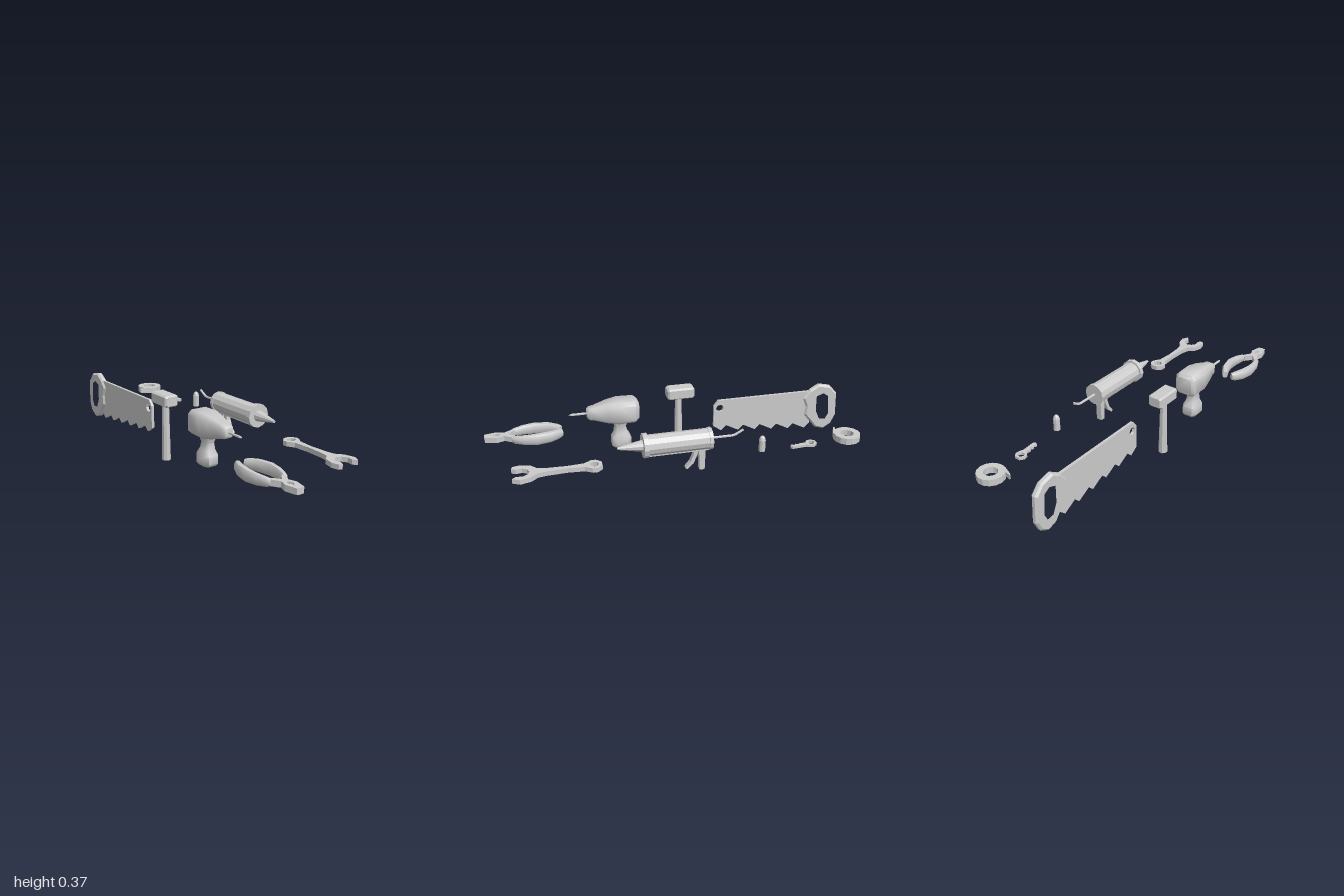
import * as THREE from 'three';
import { toCreasedNormals } from 'three/addons/utils/BufferGeometryUtils.js';

const flat = new THREE.MeshStandardMaterial({ color: 0xcccccc, flatShading: true });
const smooth = new THREE.MeshStandardMaterial({ color: 0xcccccc });

function add(parent, name, geo, mat = flat) {
  const mesh = new THREE.Mesh(geo, mat);
  mesh.name = name;
  parent.add(mesh);
  return mesh;
}

const vec2 = (pts) => pts.map(([a, b]) => new THREE.Vector2(a, b));
const circle = (cx, cy, r, n = 8) => Array.from({ length: n }, (_, i) => {
  const a = (i / n) * Math.PI * 2;
  return [cx + r * Math.cos(a), cy + r * Math.sin(a)];
});

function extrude(outline, holes, depth, bevel = 0) {
  const shape = new THREE.Shape(vec2(outline));
  holes.forEach((h) => shape.holes.push(new THREE.Path(vec2(h))));
  const geo = new THREE.ExtrudeGeometry(shape, {
    depth: depth - 2 * bevel, bevelEnabled: bevel > 0, bevelThickness: bevel,
    bevelSize: bevel, bevelOffset: -bevel, bevelSegments: 1,
  });
  return geo.translate(0, 0, bevel - depth / 2);
}

// Flat plate drawn in (x, z), lying at height y
const plate = (outline, holes, y, depth, bevel = 0) =>
  extrude(outline, holes, depth, bevel).rotateX(Math.PI / 2).translate(0, y, 0);

// Upright plate drawn in (z, y), standing at x
function upright(outline, holes, x, depth, bevel = 0) {
  const flip = (pts) => pts.map(([z, y]) => [-z, y]);
  return extrude(flip(outline), holes.map(flip), depth, bevel).rotateY(Math.PI / 2).translate(x, 0, 0);
}

// Chamfered rectangular section swept along stations [x, y, z, halfWidth, halfHeight]
function sweep(stations, up, cut = 0.6, crease = 0.75) {
  const p = stations.map((s) => new THREE.Vector3(s[0], s[1], s[2]));
  const corners = [[1, -cut], [1, cut], [cut, 1], [-cut, 1], [-1, cut], [-1, -cut], [-cut, -1], [cut, -1]];
  const pos = [], idx = [], n = 8, last = p.length - 1;
  p.forEach((c, i) => {
    const w = p[Math.min(i + 1, last)].clone().sub(p[Math.max(i - 1, 0)]).normalize();
    const u = up.clone().cross(w).normalize();
    const v = w.clone().cross(u);
    corners.forEach(([a, b]) => {
      const q = c.clone().addScaledVector(u, a * stations[i][3]).addScaledVector(v, b * stations[i][4]);
      pos.push(q.x, q.y, q.z);
    });
  });
  for (let i = 0; i < last; i++) for (let j = 0; j < n; j++) {
    const a = i * n + j, b = i * n + (j + 1) % n;
    idx.push(a, b, b + n, a, b + n, a + n);
  }
  for (let j = 1; j < n - 1; j++) {
    idx.push(0, j + 1, j, last * n, last * n + j, last * n + j + 1);
  }
  const geo = new THREE.BufferGeometry();
  geo.setAttribute('position', new THREE.Float32BufferAttribute(pos, 3));
  geo.setIndex(idx);
  return toCreasedNormals(geo, crease);
}

// Cylinder along z from z0 to z1
const rodZ = (r0, r1, z0, z1, x, y, n) =>
  new THREE.CylinderGeometry(r1, r0, z1 - z0, n).rotateX(Math.PI / 2).translate(x, y, (z0 + z1) / 2);

const Y = new THREE.Vector3(0, 1, 0), Z = new THREE.Vector3(0, 0, 1);

export function createModel() {
  const model = new THREE.Group();
  const group = (name) => {
    const g = new THREE.Group();
    g.name = name;
    model.add(g);
    return g;
  };

  // Saw: toothed blade and looped grip
  const saw = group('saw');
  const blade = [[-0.83, 0.276], [-0.285, 0.276], [-0.26, 0.245], [-0.26, 0.12]];
  for (let i = 0; i < 6; i++) {
    const z = -0.305 - i * 0.101, y = 0.09 - i * 0.009;
    blade.push([z, y], [z - 0.03, y + 0.028]);
  }
  add(saw, 'sawBlade', upright(blade, [circle(-0.295, 0.228, 0.022)], -0.159, 0.016));
  add(saw, 'sawHandle', upright(
    [[-0.79, 0.235], [-0.83, 0.283], [-0.88, 0.313], [-0.95, 0.298], [-0.993, 0.25], [-1, 0.11],
      [-0.975, 0.056], [-0.93, 0.028], [-0.876, 0.044], [-0.845, 0.083], [-0.805, 0.13], [-0.81, 0.185]],
    [[[-0.86, 0.25], [-0.91, 0.27], [-0.95, 0.245], [-0.962, 0.13], [-0.94, 0.085], [-0.89, 0.09],
      [-0.862, 0.15]]], -0.159, 0.036, 0.01));

  // Mallet
  const mallet = group('mallet');
  add(mallet, 'malletHead', sweep([
    [-0.197, 0.334, -0.15, 0.032, 0.024], [-0.197, 0.334, -0.14, 0.04, 0.031],
    [-0.197, 0.334, -0.01, 0.04, 0.031], [-0.197, 0.334, 0, 0.032, 0.024]], Y, 0.75, 0.3));
  add(mallet, 'malletHandle', new THREE.CylinderGeometry(0.018, 0.024, 0.31, 8)
    .rotateY(Math.PI / 8).translate(-0.196, 0.155, -0.066));

  // Power drill
  const drill = group('drill');
  const dx = -0.164;
  add(drill, 'drillBody', sweep([
    [dx, 0.277, 0.168, 0.046, 0.046], [dx, 0.277, 0.19, 0.063, 0.062], [dx, 0.277, 0.28, 0.065, 0.064],
    [dx, 0.277, 0.34, 0.052, 0.055], [dx, 0.277, 0.41, 0.034, 0.036], [dx, 0.277, 0.435, 0.031, 0.032],
    [dx, 0.277, 0.448, 0.022, 0.022]], Y, 0.68, 0.9), smooth);
  add(drill, 'drillBit', rodZ(0.007, 0.007, 0.44, 0.53, dx, 0.277, 6));
  add(drill, 'drillBitTip', rodZ(0.007, 0.001, 0.53, 0.545, dx, 0.277, 6));
  add(drill, 'drillGrip', sweep([
    [dx, 0.065, 0.266, 0.034, 0.044], [dx, 0.078, 0.266, 0.042, 0.054], [dx, 0.12, 0.266, 0.042, 0.052],
    [dx, 0.148, 0.268, 0.03, 0.037], [dx, 0.185, 0.27, 0.025, 0.03], [dx, 0.225, 0.27, 0.036, 0.045]],
    Z, 0.65, 0.9), smooth);

  // Pliers: two mirrored halves crossing at the pivot
  const pliers = group('pliers');
  const px = -0.2;
  for (const s of [-1, 1]) {
    const grip = [[0.02, 0.587, 0.014, 0.019], [0.033, 0.605, 0.017, 0.024], [0.054, 0.65, 0.019, 0.028],
      [0.068, 0.72, 0.018, 0.029], [0.062, 0.785, 0.016, 0.025], [0.047, 0.835, 0.013, 0.02],
      [0.04, 0.848, 0.01, 0.014]];
    add(pliers, 'pliersGrip', sweep(grip.map(([x, z, w, h]) => [px + s * x, 0.171, z, w, h]), Y, 0.55, 0.9), smooth);
    const jaw = [[0.053, 0.838], [0.018, 0.893], [0, 0.905], [-0.014, 0.928], [0, 0.955], [0, 0.995],
      [-0.02, 0.992], [-0.034, 0.93], [-0.018, 0.885], [0, 0.872], [0.032, 0.832]];
    add(pliers, 'pliersJaw', plate(jaw.map(([x, z]) => [px + s * x, z]), [], 0.172, 0.03));
  }

  // Caulking gun
  const gun = group('caulkingGun');
  const gx = 0.201, gy = 0.243;
  add(gun, 'cartridge', rodZ(0.054, 0.054, -0.13, 0.2, gx, gy, 12));
  add(gun, 'frontCollar', rodZ(0.064, 0.064, 0.192, 0.217, gx, gy, 12));
  add(gun, 'rearCap', rodZ(0.058, 0.058, -0.142, -0.122, gx, gy, 12));
  add(gun, 'nozzle', rodZ(0.031, 0.007, 0.217, 0.345, gx, gy, 10));
  const rod = new THREE.CurvePath();
  const rodPts = [[-0.13, gy], [-0.265, gy], [-0.315, gy + 0.028]].map(([z, y]) => new THREE.Vector3(gx, y, z));
  for (let i = 0; i < 2; i++) rod.add(new THREE.LineCurve3(rodPts[i], rodPts[i + 1]));
  add(gun, 'plungerRod', new THREE.TubeGeometry(rod, 12, 0.007, 6));
  add(gun, 'gunGrip', upright([[-0.074, 0.2], [-0.11, 0.2], [-0.106, 0.072], [-0.079, 0.072]], [], gx, 0.032));
  add(gun, 'gunTrigger', upright(
    [[-0.075, 0.2], [-0.05, 0.2], [-0.045, 0.16], [-0.03, 0.122], [-0.004, 0.09], [-0.014, 0.082],
      [-0.046, 0.112], [-0.064, 0.155]], [], gx, 0.028));
  add(gun, 'gunFrame', new THREE.BoxGeometry(0.03, 0.014, 0.33).translate(gx, 0.189, 0.035));

  // Wrench: ring end and open jaw
  const wrench = group('wrench');
  add(wrench, 'wrenchBody', plate(
    [[0.195, 0.426], [0.23, 0.426], [0.254, 0.452], [0.254, 0.478], [0.23, 0.515], [0.224, 0.6], [0.229, 0.7],
      [0.237, 0.745], [0.268, 0.78], [0.283, 0.835], [0.264, 0.872], [0.246, 0.852], [0.251, 0.82],
      [0.235, 0.795], [0.211, 0.785], [0.187, 0.795], [0.171, 0.82], [0.178, 0.85], [0.166, 0.872],
      [0.147, 0.866], [0.137, 0.828], [0.152, 0.775], [0.187, 0.745], [0.195, 0.7], [0.199, 0.6],
      [0.193, 0.515], [0.17, 0.478], [0.17, 0.452]],
    [circle(0.212, 0.466, 0.023)], 0.165, 0.025));

  // Battery
  const [bx, bz] = [0.232, -0.41];
  add(model, 'battery', new THREE.LatheGeometry(
    vec2([[0, 0.15], [0.018, 0.15], [0.018, 0.214], [0.013, 0.229], [0.006, 0.236], [0, 0.236]]), 10)
    .translate(bx, 0, bz));

  // Key: ring bow and notched shank
  add(model, 'key', plate(
    [[0.2, -0.72], [0.228, -0.72], [0.244, -0.7], [0.242, -0.675], [0.234, -0.655], [0.24, -0.58], [0.228, -0.572],
      [0.214, -0.58], [0.222, -0.594], [0.211, -0.606], [0.22, -0.618], [0.209, -0.63], [0.212, -0.66],
      [0.19, -0.675], [0.185, -0.7]],
    [circle(0.214, -0.693, 0.018)], 0.148, 0.014));

  // Tape roll with a loose end
  const tape = group('tapeRoll');
  add(tape, 'tapeRing', plate(circle(0.204, -0.902, 0.071, 14), [circle(0.204, -0.902, 0.036, 12)], 0.161, 0.034));
  add(tape, 'tapeEnd', plate([[0.115, -0.87], [0.145, -0.862], [0.16, -0.865], [0.2, -0.835], [0.18, -0.833],
    [0.118, -0.86]], [], 0.163, 0.026));

  return model;
}
